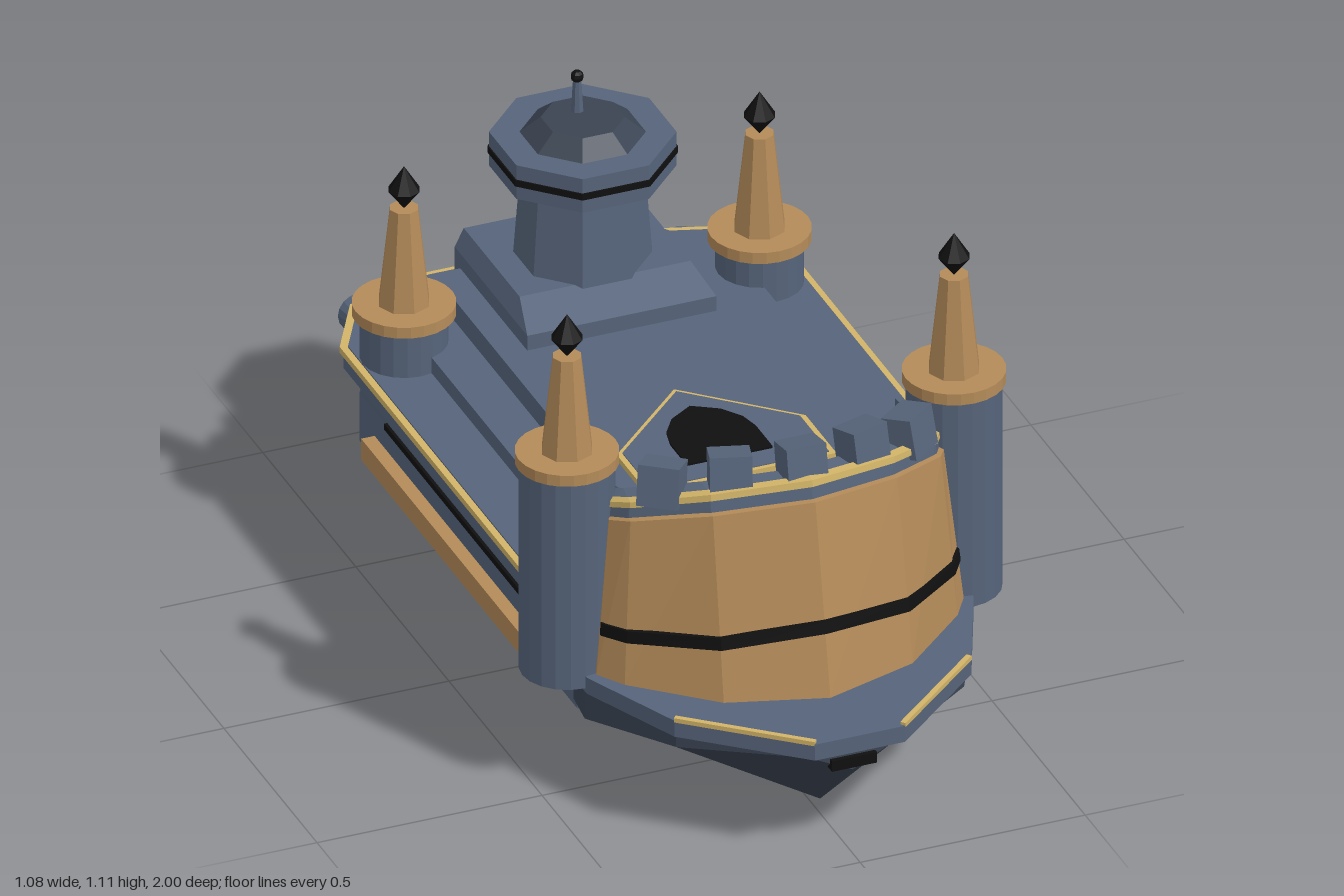
import * as THREE from 'three';

const mat = (color, side = THREE.FrontSide) => new THREE.MeshStandardMaterial({ color, flatShading: true, side });

// Solid through a series of closed rings of [x, y, z] points, with capped ends
function loft(rings) {
  const tris = [], n = rings[0].length;
  for (let r = 0; r + 1 < rings.length; r++) for (let i = 0; i < n; i++) {
    const j = (i + 1) % n, a = rings[r], b = rings[r + 1];
    tris.push([a[i], a[j], b[j]], [a[i], b[j], b[i]]);
  }
  [rings[0], rings[rings.length - 1]].forEach((ring, end) => {
    const c = [0, 1, 2].map(k => ring.reduce((s, p) => s + p[k], 0) / n);
    ring.forEach((p, i) => {
      const q = ring[(i + 1) % n];
      tris.push(end ? [c, p, q] : [c, q, p]);
    });
  });
  // Turn the faces outwards if the rings ran the other way
  const v = p => new THREE.Vector3(...p);
  const volume = tris.reduce((s, [a, b, c]) => s + v(a).dot(v(b).cross(v(c))), 0);
  if (volume < 0) tris.forEach(t => t.reverse());
  const g = new THREE.BufferGeometry();
  g.setAttribute('position', new THREE.Float32BufferAttribute(tris.flat(2), 3));
  g.computeVertexNormals();
  return g;
}

// Mirrors the right-hand half of an outline, given from front to back
const mirror = half => [...half, ...half.slice().reverse().map(([x, z]) => [-x, z])];
const at = (outline, y) => outline.map(([x, z]) => [x, y, z]);
const slab = (outline, y0, y1) => loft([at(outline, y0), at(outline, y1)]);

// Hull plan: bevelled front, double bevel at the stern
const plan = (w, zf, zb) => mirror([
  [w * 0.5, zf], [w, zf - w * 0.34], [w, zb + w * 0.42], [w * 0.83, zb + w * 0.12], [w * 0.46, zb]]);

export function createModel() {
  const model = new THREE.Group();
  const blue = mat(0x56647a), dark = mat(0x3b4452), gold = mat(0xb48b59);
  const trim = mat(0xd2b468), black = mat(0x101010), open = mat(0x56647a, THREE.DoubleSide);

  const add = (name, geometry, material, x = 0, y = 0, z = 0, parent = model) => {
    const m = new THREE.Mesh(geometry, material);
    m.name = name;
    m.position.set(x, y, z);
    parent.add(m);
    return m;
  };
  const box = (w, h, d) => new THREE.BoxGeometry(w, h, d);
  const drum = (top, bottom, h, sides) => new THREE.CylinderGeometry(top, bottom, h, sides);
  const lathe = (pts, sides) => new THREE.LatheGeometry(pts.map(p => new THREE.Vector2(...p)), sides);

  // Stepped hull
  add('keel', loft([[0.38, -0.51, 0], [0.42, -0.55, 0.06]].map(([f, b, y]) =>
    at([[0.025, f], [0.025, b], [-0.025, b], [-0.025, f]], y))), blue);
  add('lowerHull', slab(plan(0.23, 0.44, -0.58), 0.04, 0.11), blue);
  add('middleHull', slab(plan(0.37, 0.5, -0.68), 0.11, 0.2), blue);
  add('mainHull', loft([at(plan(0.38, 0.52, -0.62), 0.195), at(plan(0.45, 0.58, -0.79), 0.235),
    at(plan(0.45, 0.58, -0.79), 0.35), at(plan(0.455, 0.6, -0.74), 0.39),
    at(plan(0.495, 0.62, -0.785), 0.43), at(plan(0.495, 0.62, -0.785), 0.47)]), blue);
  add('deckRim', slab(plan(0.502, 0.62, -0.793), 0.466, 0.48), trim);
  add('deck', slab(plan(0.487, 0.61, -0.778), 0.46, 0.483), blue);
  for (const s of [-1, 1]) {
    add('sideRail', box(0.06, 0.05, 1), gold, s * 0.45, 0.265, -0.02);
    add('sideStripe', box(0.02, 0.014, 0.84), black, s * 0.448, 0.352, -0.03);
  }

  // Superstructure tiers and roof hatch
  add('lowerTier', slab(mirror([[0.12, 0.56], [0.3, 0.46], [0.37, 0.28], [0.37, -0.62], [0.31, -0.67]]), 0.47, 0.52), blue);
  add('upperTier', slab(mirror([[0.1, 0.45], [0.21, 0.38], [0.27, 0.26], [0.27, -0.58], [0.23, -0.64]]), 0.52, 0.57), blue);
  const shield = k => mirror([[0, 0.2 - 0.2 * k], [0.21 * k, 0.2], [0.21 * k, 0.2 + 0.165 * k]]);
  add('hatchRim', slab(shield(1), 0.565, 0.583), trim);
  add('hatchPlate', slab(shield(0.94), 0.57, 0.585), blue);
  add('hatchOpening', slab(mirror([[0, 0.085], [0.055, 0.12], [0.085, 0.165], [0.095, 0.21], [0.095, 0.3]]), 0.57, 0.59), black);

  // Command tower
  const tower = new THREE.Group();
  tower.name = 'commandTower';
  tower.position.z = -0.49;
  model.add(tower);
  const foot = (w, f, y) => at([[w, f], [w, -0.18], [-w, -0.18], [-w, f]], y);
  add('towerFoot', loft([foot(0.21, 0.21, 0.55), foot(0.21, 0.21, 0.605), foot(0.19, 0.12, 0.645)]), blue, 0, 0, 0, tower);
  const oct = (name, top, bottom, y0, y1, m) => {
    const k = 1 / Math.cos(Math.PI / 8);
    add(name, drum(top * k, bottom * k, y1 - y0, 8), m, 0, (y0 + y1) / 2, 0, tower).rotation.y = Math.PI / 8;
  };
  oct('towerShaft', 0.118, 0.135, 0.6, 0.85, blue);
  oct('towerHead', 0.178, 0.178, 0.85, 0.93, blue);
  oct('towerBand', 0.181, 0.181, 0.881, 0.896, black);
  oct('towerCap', 0.08, 0.12, 0.93, 0.965, dark);
  add('mast', drum(0.009, 0.014, 0.08, 8), blue, 0, 1, -0.03, tower);
  add('mastBall', new THREE.SphereGeometry(0.014, 8, 6), black, 0, 1.046, -0.03, tower);

  // Four corner turrets with spires
  for (const s of [-1, 1]) {
    for (const [x, z, r, y0, y1] of [[0.43, 0.465, 0.1, 0.275, 0.79], [0.395, -0.495, 0.092, 0.47, 0.612]]) {
      const t = new THREE.Group();
      t.name = 'turret';
      t.position.set(s * x, 0, z);
      model.add(t);
      add('turretBody', drum(r, r, y1 - y0 - 0.01, 20), blue, 0, (y0 + y1 - 0.01) / 2, 0, t);
      add('turretFlange', drum(0.108, 0.108, 0.026, 24), gold, 0, y1 - 0.013, 0, t);
      add('turretSpire', drum(0.031, 0.056, 0.225, 8), gold, 0, y1 + 0.112, 0, t);
      add('turretTip', lathe([[0, 0], [0.034, 0.045], [0, 0.1]], 8), black, 0, y1 + 0.222, 0, t);
    }
  }

  // Bow platform and pointed prow
  const bow = mirror([[0.1, 1], [0.33, 0.8], [0.43, 0.57], [0.43, 0.42]]);
  add('bowPlatform', slab(bow, 0.265, 0.303), blue);
  add('prow', loft([[0.96, 0.1, 0.25, 0.2], [0.785, 0.32, 0.23, 0.035], [0.56, 0.43, 0.2, 0.02], [0.475, 0.42, 0.2, 0.018]]
    .map(([z, w, side, keel]) => [[-w, 0.268, z], [-w, side, z], [0, keel, z], [w, side, z], [w, 0.268, z]])), dark);
  add('prowSlot', box(0.1, 0.025, 0.03), black, 0, 0.223, 0.955);
  for (const s of [-1, 1]) {
    const dx = 0.23, dz = -0.2;
    add('bowTrim', box(Math.hypot(dx, dz), 0.01, 0.012), trim, s * 0.212, 0.304, 0.895).rotation.y = -s * Math.atan2(dz, dx);
  }

  // Leaning curved front wall; each station is [xBottom, zBottom, xTop, zTop, yTop]
  const half = [[0, 0.84, 0, 0.76, 0.727], [0.21, 0.775, 0.205, 0.705, 0.71],
    [0.37, 0.63, 0.345, 0.6, 0.672], [0.408, 0.57, 0.372, 0.55, 0.655]];
  const mirrorStations = h => [...h.slice(1).reverse().map(([a, b, c, d, e]) => [-a, b, -c, d, e]), ...h];
  const stations = mirrorStations(half);
  const wallPoint = ([xb, zb, xt, zt, yt], t, inset) => {
    const k = 1 - inset * 0.6;
    return [(xb + (xt - xb) * t) * k, 0.305 + (yt - 0.305) * t, zb + (zt - zb) * t - inset];
  };
  const band = (list, t0, t1, out, inner) => loft(list.map(s => [wallPoint(s, t0(s), out),
    wallPoint(s, t1(s), out), wallPoint(s, t1(s), inner), wallPoint(s, t0(s), inner)]));
  const longWall = mirrorStations([...half, [0.395, 0.37, 0.39, 0.37, 0.61]]);
  add('frontWall', band(longWall, () => 0, () => 1.085, 0.015, 0.08), blue);
  add('frontPanel', band(stations, () => 0, () => 1, 0, 0.04), gold);
  const level = d => s => (0.46 - Math.abs(s[0]) * 0.12 + d - 0.305) / (s[4] - 0.305);
  add('frontStripe', band(stations, level(-0.013), level(0.014), -0.008, 0.02), black);
  add('wallTrim', band(stations, () => 1.07, () => 1.105, 0.008, 0.03), trim);
  for (const [x, y, z, turn] of [[0, 0.782, 0.685, 0], [0.147, 0.775, 0.655, 0.3], [0.275, 0.75, 0.6, 0.65]])
    for (const s of x ? [-1, 1] : [1]) {
      const m = add('merlon', box(0.088, 0.09, 0.07), blue, s * x, y, z);
      m.rotation.set(-0.18, s * turn, 0, 'YXZ');
    }

  // Stern engines: three large, two small
  const engine = (x, y, z, k) => {
    const e = new THREE.Group();
    e.name = 'engine';
    e.position.set(x, y, z);
    e.rotation.x = -Math.PI / 2;
    e.scale.setScalar(k);
    model.add(e);
    add('engineNozzle', lathe([[0, 0], [0.08, 0], [0.085, 0.04], [0.085, 0.095], [0.058, 0.125],
      [0.074, 0.175], [0.062, 0.175], [0.05, 0.14], [0, 0.14]], 16), open, 0, 0, 0, e);
    add('engineCore', lathe([[0.054, 0.15], [0.056, 0.165], [0, 0.215]], 8), black, 0, 0, 0, e);
  };
  for (const x of [-0.2, 0, 0.2]) engine(x, 0.29, -0.785, 1);
  for (const x of [-0.355, 0.355]) engine(x, 0.39, -0.735, 0.6);

  return model;
}
